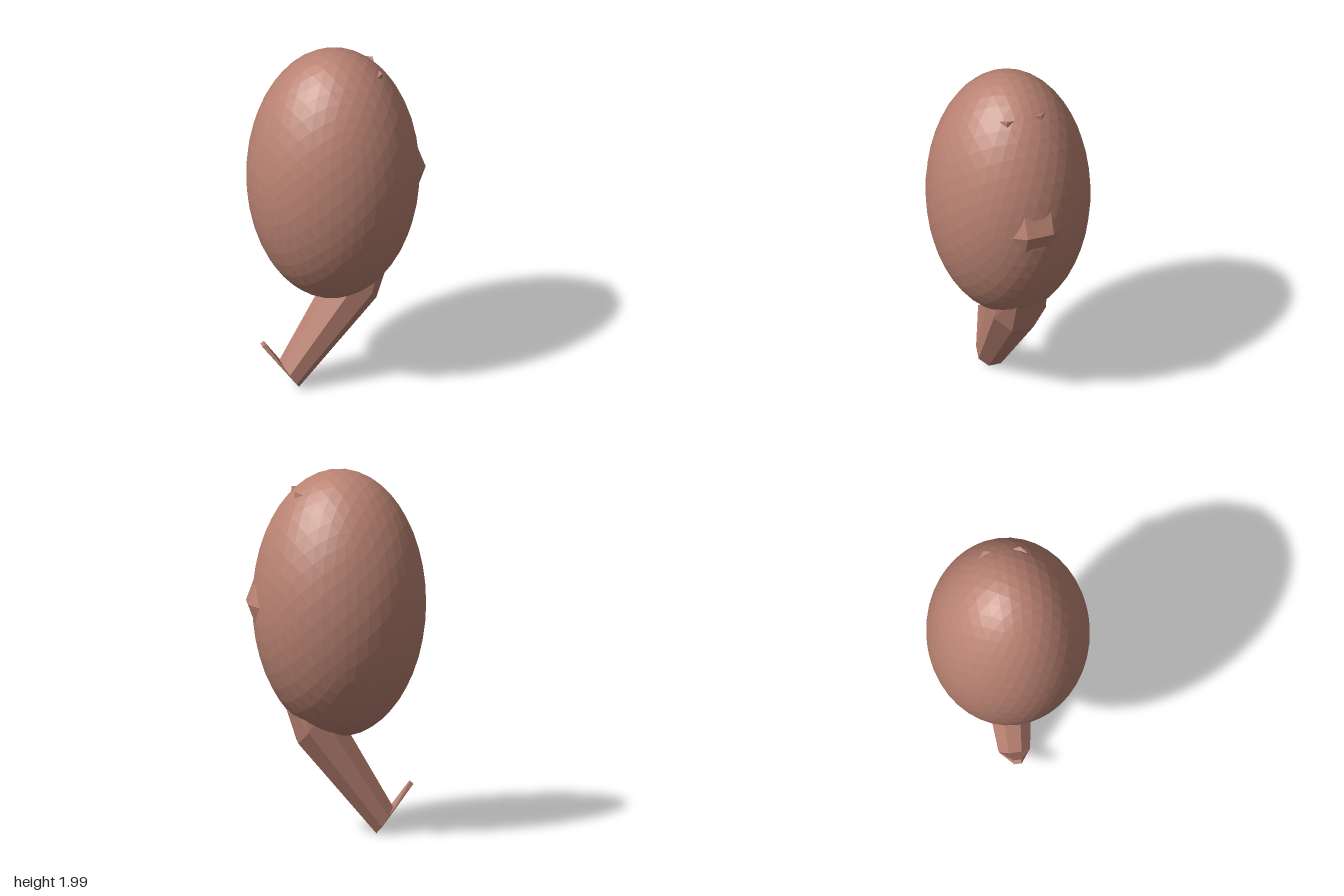
import * as THREE from 'three';
import { ConvexGeometry } from 'three/addons/geometries/ConvexGeometry.js';

const V = (x, y, z) => new THREE.Vector3(x, y, z);

// Octagonal ring round (x, y, 0); its plane holds z and the direction (dx, dy).
function ring(x, y, dx, dy, apothem) {
  const r = apothem / Math.cos(Math.PI / 8);
  const len = Math.hypot(dx, dy);
  return Array.from({ length: 8 }, (_, i) => {
    const a = (i + 0.5) * Math.PI / 4;
    const u = r * Math.cos(a) / len;
    return V(x + dx * u, y + dy * u, r * Math.sin(a));
  });
}

export function createModel() {
  const group = new THREE.Group();
  const material = new THREE.MeshStandardMaterial({ color: 0xb98272, flatShading: true });

  function add(name, geometry) {
    const mesh = new THREE.Mesh(geometry, material);
    mesh.name = name;
    group.add(mesh);
    return mesh;
  }
  const addHull = (name, points) => add(name, new ConvexGeometry(points));

  // Egg-shaped body
  const body = add('body', new THREE.IcosahedronGeometry(1, 7).scale(0.469, 0.73, 0.441));
  body.position.set(-0.014, 1.27, 0);

  // Tapered leg: ankle, knee and hip rings
  const ankle = ring(-0.257, 0.08, -0.09, 0.14, 0.084);
  const knee = ring(0.13, 0.637, -0.09, 0.14, 0.15);
  const hip = ring(0.17, 0.84, -0.95, 0.3, 0.14);
  addHull('lowerLeg', [...ankle, ...knee]);
  addHull('upperLeg', [...knee, ...hip]);

  // Thin foot narrowing from the ankle to a small square tip
  const toe = [];
  for (const z of [-0.02, 0.02]) toe.push(V(-0.413, 0.272, z), V(-0.395, 0.286, z));
  addHull('foot', [...ankle, ...toe]);

  // Ridged nose
  const nose = [];
  for (const s of [-1, 1]) {
    nose.push(
      V(0.483, 1.28, 0.075 * s),
      V(0.42, 1.45, 0.078 * s),
      V(0.42, 1.11, 0.072 * s),
      V(0.42, 1.27, 0.155 * s),
    );
  }
  addHull('nose', nose);

  // Small brow bumps near the crown
  for (const s of [-1, 1]) {
    addHull(s > 0 ? 'frontBrow' : 'backBrow', [
      V(0.235, 1.893, 0.1 * s),
      V(0.228, 1.89, 0.062 * s),
      V(0.238, 1.84, 0.1 * s),
      V(0.225, 1.84, 0.06 * s),
      V(0.2, 1.886, 0.13 * s),
      V(0.15, 1.85, 0.08 * s),
    ]);
  }

  return group;
}
